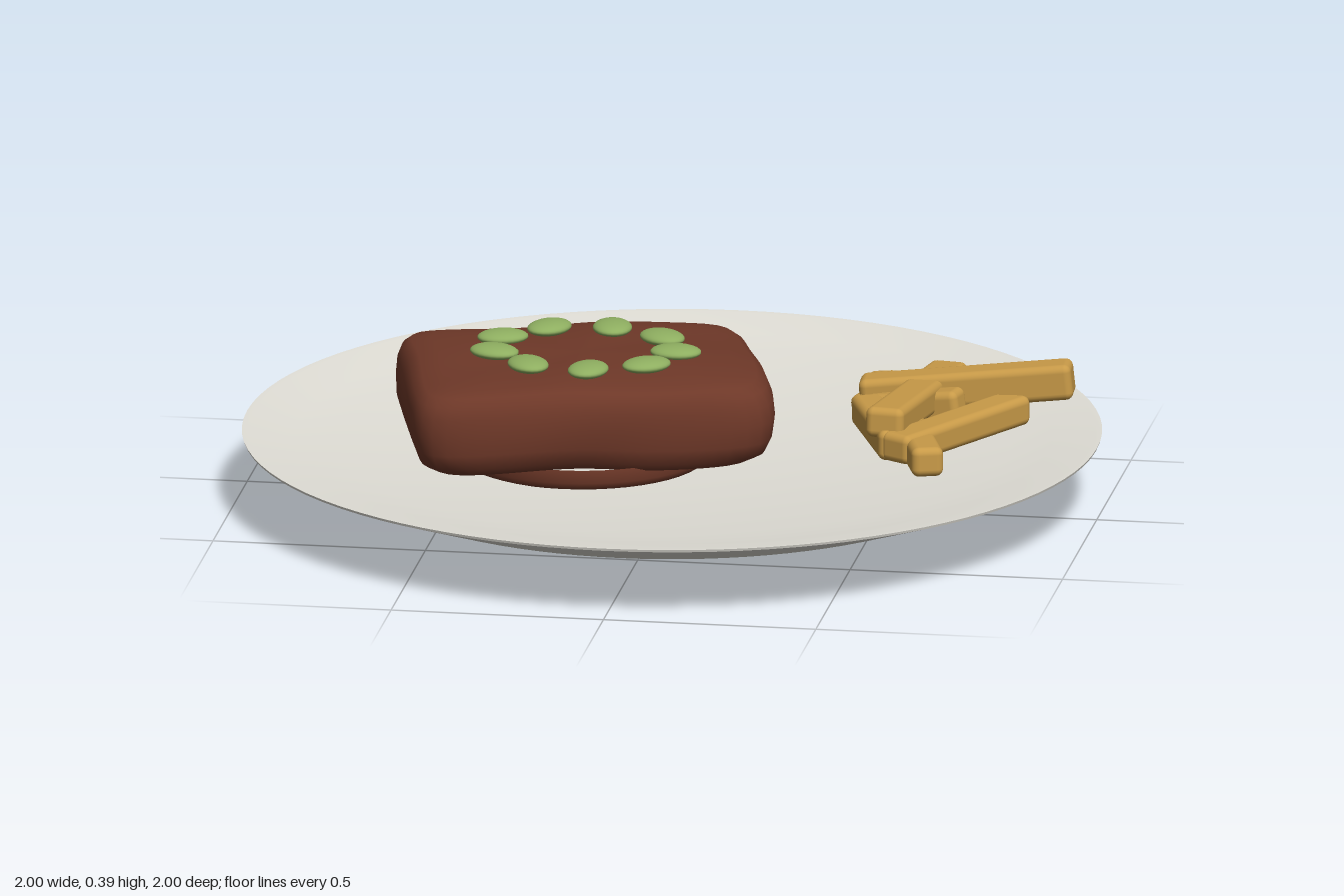
import * as THREE from 'three';
import { mergeVertices, toCreasedNormals } from 'three/addons/utils/BufferGeometryUtils.js';
import { RoundedBoxGeometry } from 'three/addons/geometries/RoundedBoxGeometry.js';

const mat = (name, color) => new THREE.MeshStandardMaterial({ name, color });
const points = (list) => list.map(([x, y]) => new THREE.Vector2(x, y));

function addMesh(parent, name, geometry, material) {
  const mesh = new THREE.Mesh(geometry, material);
  mesh.name = name;
  parent.add(mesh);
  return mesh;
}

// Closed plate profile: foot, underside, thin rim, then the shallow dished top
function plateGeometry() {
  const profile = [[0, 0.004], [0.39, 0], [0.4, 0.004], [0.415, 0.033], [0.37, 0.045],
    [0.36, 0.06], [0.36, 0.073], [0.72, 0.074], [0.76, 0.08], [0.998, 0.166], [1, 0.172], [0.985, 0.171]];
  for (let i = 9; i >= 0; i--) {
    const r = 0.098 * i;
    profile.push([r, 0.1 + 0.068 * r * r]);
  }
  return toCreasedNormals(new THREE.LatheGeometry(points(profile), 96), 0.4);
}

// Lathe whose circle is reshaped into a slightly wavy rounded rectangle
function steakGeometry() {
  const profile = points([[0, 0.14], [0.6, 0.145], [0.88, 0.155], [0.96, 0.175], [0.99, 0.21], [1, 0.255],
    [0.99, 0.295], [0.96, 0.325], [0.91, 0.342], [0.8, 0.352], [0.6, 0.361], [0.3, 0.364], [0, 0.362]]);
  let geo = new THREE.LatheGeometry(profile, 96);
  geo.deleteAttribute('normal');
  geo.deleteAttribute('uv');
  const pos = geo.attributes.position;
  for (let i = 0; i < pos.count; i++) {
    const x = pos.getX(i), z = pos.getZ(i), r = Math.hypot(x, z), y = pos.getY(i);
    if (r < 1e-6) continue;
    const c = x / r, s = z / r, a = Math.atan2(s, c);
    const edge = Math.pow(Math.abs(c / 0.422) ** 8 + Math.abs(s / 0.318) ** 8, -1 / 8);
    const wave = 1 + 0.012 * Math.sin(3 * a + 1) + 0.008 * Math.sin(5 * a + y * 20);
    pos.setXYZ(i, c * r * edge * wave, y + 0.006 * r * Math.sin(4 * a + 0.5), s * r * edge * wave);
  }
  geo = mergeVertices(geo, 1e-4);
  geo.computeVertexNormals();
  return geo;
}

export function createModel() {
  const model = new THREE.Group();
  model.name = 'steakDinner';
  const china = mat('china', 0xe0ded6);
  const meat = mat('meat', 0x6e3828);
  const potato = mat('potato', 0xc89a48);
  const green = mat('green', 0x8eae60);

  addMesh(model, 'plate', plateGeometry(), china);

  // Steak and the rounded belly it rests on
  const steak = addMesh(model, 'steak', steakGeometry(), meat);
  steak.position.set(-0.205, 0, 0.035);
  steak.rotation.y = 0.27;
  const belly = addMesh(model, 'steakUnderside', new THREE.LatheGeometry(
    points([[0, 0.095], [0.24, 0.1], [0.29, 0.112], [0.305, 0.13], [0.3, 0.16]]), 48), meat);
  belly.position.set(-0.205, 0, 0.035);

  // Ring of flattened green garnish
  const garnish = new THREE.Group();
  garnish.name = 'garnish';
  model.add(garnish);
  const bean = new THREE.SphereGeometry(1, 24, 16);
  for (let i = 0; i < 9; i++) {
    const a = (i * Math.PI * 2) / 9;
    const mesh = addMesh(garnish, 'garnishPiece', bean, green);
    mesh.scale.set(0.06, 0.017, 0.046);
    mesh.position.set(-0.2 + 0.215 * Math.cos(a), 0.372, 0.038 + 0.18 * Math.sin(a));
    mesh.rotation.y = a;
  }

  // Fries, each stretched between two end points
  const fries = new THREE.Group();
  fries.name = 'fries';
  model.add(fries);
  const fry = (a, b, width = 0.085, height = 0.072) => {
    const from = new THREE.Vector3(...a), to = new THREE.Vector3(...b);
    const geo = new RoundedBoxGeometry(width, height, from.distanceTo(to), 3, 0.018);
    const mesh = addMesh(fries, 'fry', geo, potato);
    mesh.position.copy(from).add(to).multiplyScalar(0.5);
    mesh.lookAt(to);
  };
  fry([0.41, 0.215, -0.215], [0.905, 0.267, -0.245], 0.085, 0.085);
  fry([0.59, 0.215, -0.405], [0.52, 0.25, 0.14], 0.092);
  fry([0.78, 0.2, -0.22], [0.55, 0.2, 0.175], 0.085, 0.07);
  fry([0.425, 0.175, -0.445], [0.645, 0.195, 0.26], 0.075, 0.07);
  fry([0.43, 0.195, -0.17], [0.55, 0.2, 0.15], 0.075);
  fry([0.4, 0.185, -0.2], [0.66, 0.225, -0.14], 0.07);
  return model;
}
